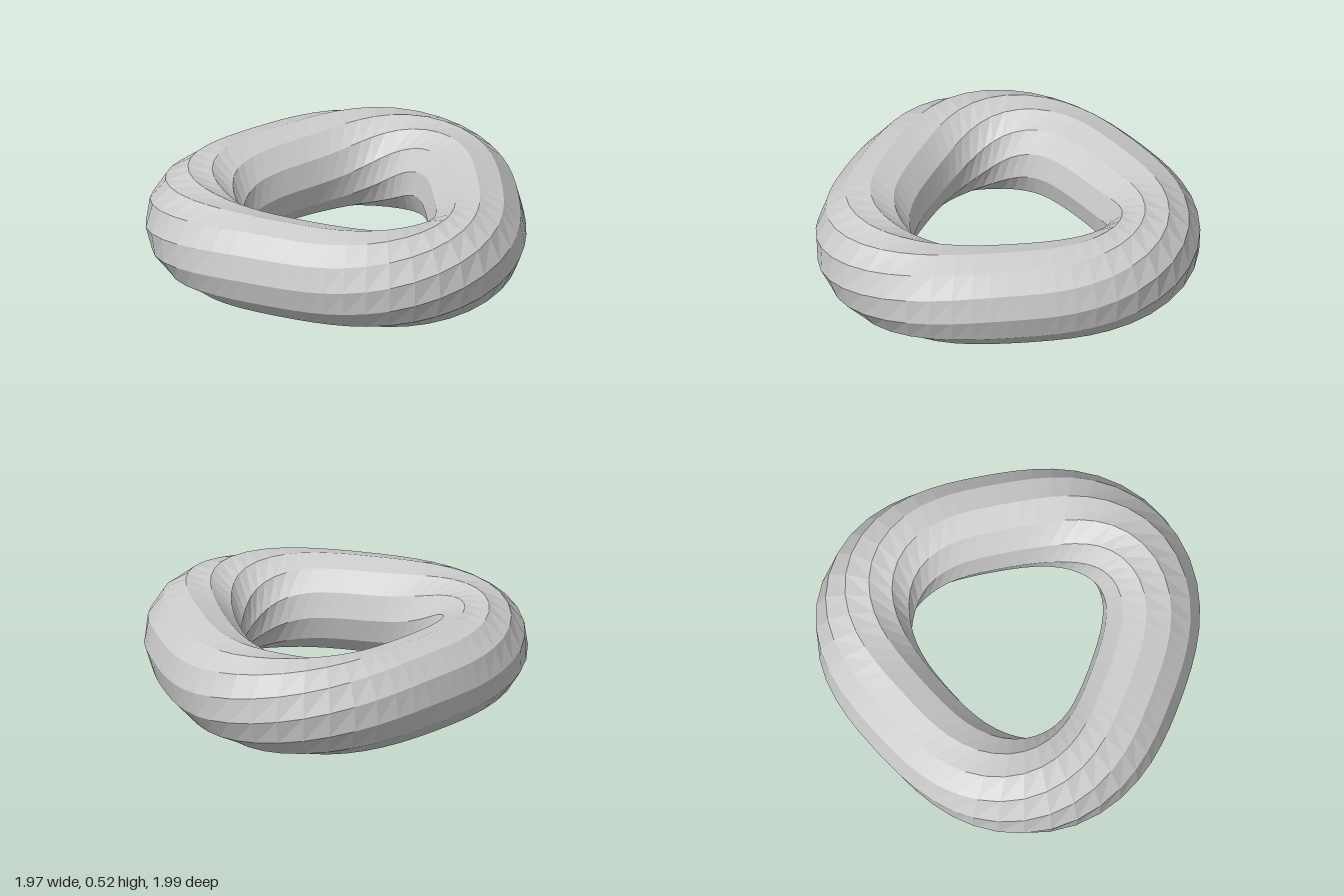
import * as THREE from 'three';

const RINGS = 54, SIDES = 12;

// Centre line: a circle pushed out at three rounded corners
function centre(a) {
  const r = 0.73 + 0.06 * Math.cos(3 * a);
  return new THREE.Vector3(-0.06 + r * Math.cos(a), 0.258, -r * Math.sin(a));
}

export function createModel() {
  const positions = [], index = [];

  for (let i = 0; i <= RINGS; i++) {
    const a = (i / RINGS) * Math.PI * 2;
    const c = centre(a);
    const t = centre(a + 0.01).sub(centre(a - 0.01)).normalize();
    const out = new THREE.Vector3(-t.z, 0, t.x);
    // The facets twist mostly at the corners
    const twist = (3 * a + 0.9 * Math.sin(3 * a)) / 6;
    for (let j = 0; j <= SIDES; j++) {
      const v = (j / SIDES) * Math.PI * 2 + twist;
      const w = 0.254 * Math.cos(v);
      positions.push(c.x + out.x * w, c.y + 0.258 * Math.sin(v), c.z + out.z * w);
    }
  }

  for (let i = 0; i < RINGS; i++) {
    for (let j = 0; j < SIDES; j++) {
      const p = i * (SIDES + 1) + j, q = p + SIDES + 1;
      index.push(p, q, q + 1, p, q + 1, p + 1);
    }
  }

  const geometry = new THREE.BufferGeometry();
  geometry.setAttribute('position', new THREE.Float32BufferAttribute(positions, 3));
  geometry.setIndex(index);
  geometry.computeVertexNormals();

  const ring = new THREE.Mesh(
    geometry,
    new THREE.MeshStandardMaterial({ color: 0xcccccc, flatShading: true })
  );
  ring.name = 'triangularRing';

  const group = new THREE.Group();
  group.name = 'ring';
  group.add(ring);
  return group;
}
